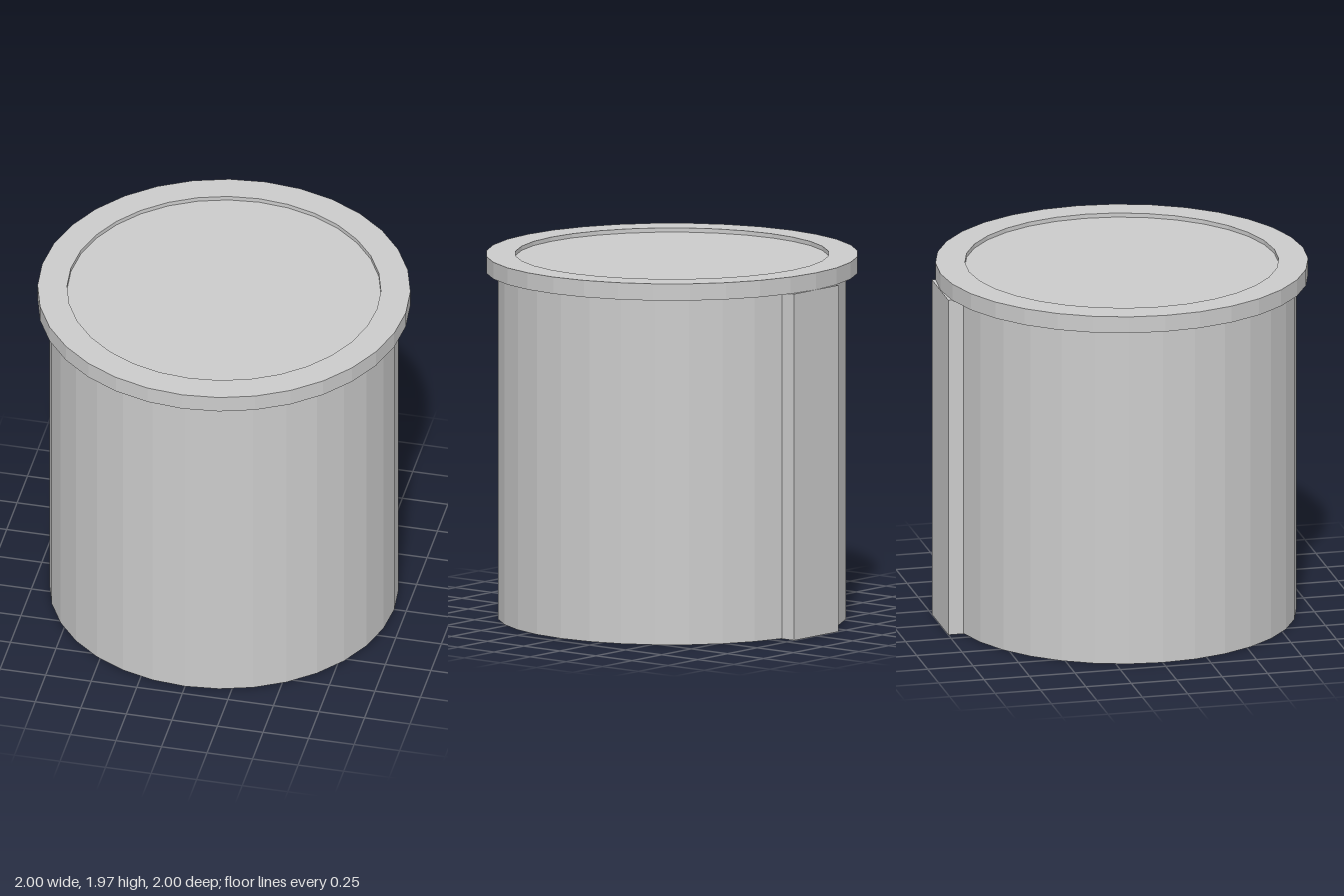
import * as THREE from 'three';

const SIDES = 32;
const WALL_OUT = 0.935, WALL_IN = 0.89;
const FLANGE_R = 0.998, RECESS_R = 0.84;
const FLANGE_Y = 1.877, TOP_Y = 1.968, RECESS_Y = 1.945, CEILING_Y = 1.88;

export function createModel() {
  const group = new THREE.Group();
  const material = new THREE.MeshStandardMaterial({ color: 0xcccccc, flatShading: true });

  const add = (name, geometry) => {
    const mesh = new THREE.Mesh(geometry, material);
    mesh.name = name;
    group.add(mesh);
    return mesh;
  };

  // Hollow cap in one turned profile: ceiling, inner wall, outer wall, flange, recessed top
  const profile = [
    [0, CEILING_Y], [WALL_IN, CEILING_Y], [WALL_IN, 0], [WALL_OUT, 0],
    [WALL_OUT, FLANGE_Y], [FLANGE_R, FLANGE_Y], [FLANGE_R, TOP_Y],
    [RECESS_R, TOP_Y], [RECESS_R, RECESS_Y], [0, RECESS_Y],
  ].map(([r, y]) => new THREE.Vector2(r, y));
  add('flangedCap', new THREE.LatheGeometry(profile, SIDES));

  // Straight key running down the back, slightly proud of the inner wall
  const back = -1, inner = -0.845;
  const key = add('backKey', new THREE.BoxGeometry(0.375, FLANGE_Y + 0.001, inner - back));
  key.position.set(0, FLANGE_Y / 2 - 0.0005, (back + inner) / 2);

  return group;
}
